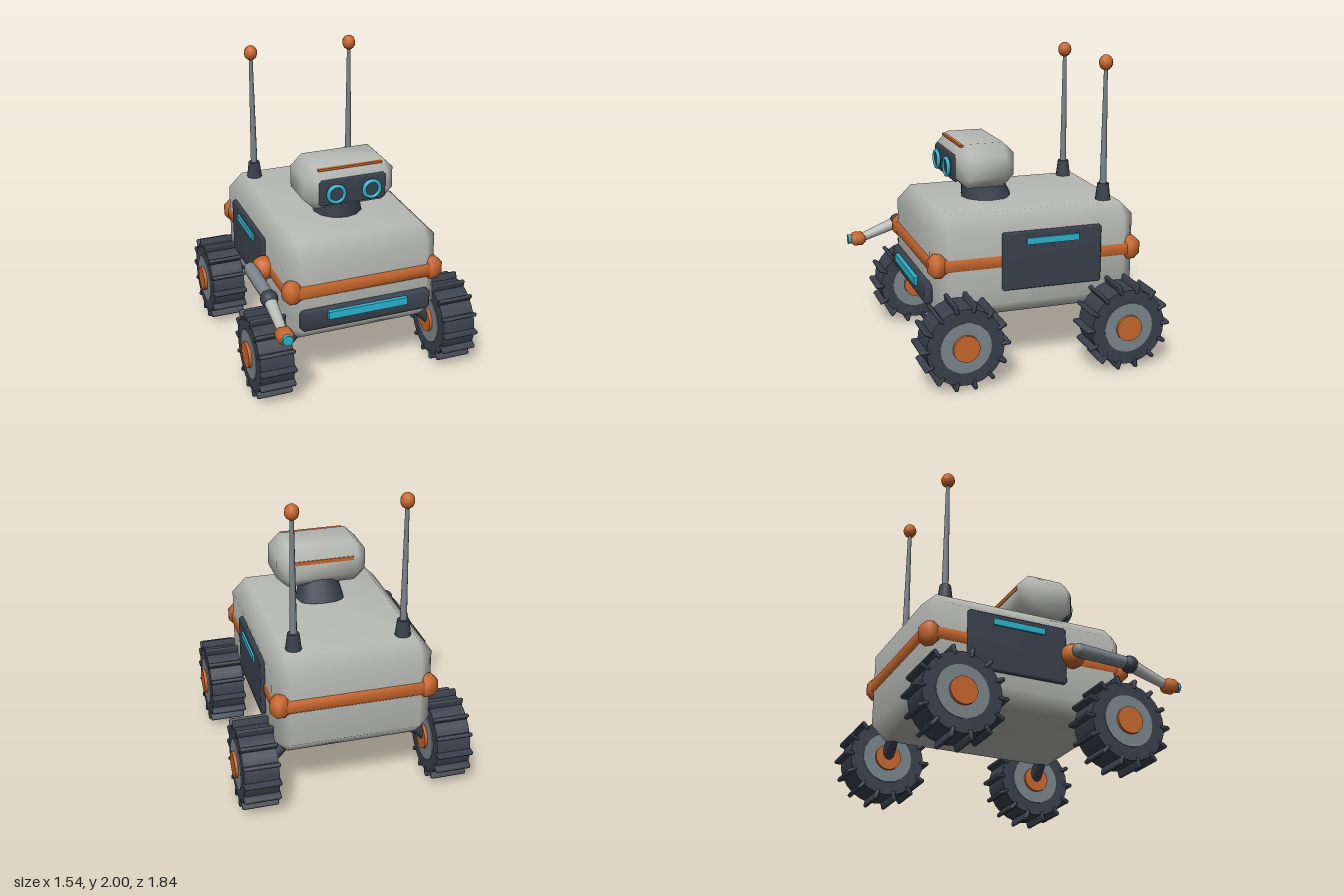
import * as THREE from 'three';
import { mergeVertices } from 'three/addons/utils/BufferGeometryUtils.js';
import { ConvexGeometry } from 'three/addons/geometries/ConvexGeometry.js';

const mat = (name, color) => {
  const m = new THREE.MeshStandardMaterial({ color });
  m.name = name;
  return m;
};

// Box with every edge cut at 45 degrees, softly shaded
function chamferBox(w, h, d, c) {
  const pts = [];
  for (const sx of [-1, 1]) for (const sy of [-1, 1]) for (const sz of [-1, 1]) {
    for (let k = 0; k < 3; k++) {
      const inset = [c, c, c];
      inset[k] = 0;
      pts.push(new THREE.Vector3(sx * (w / 2 - inset[0]), sy * (h / 2 - inset[1]), sz * (d / 2 - inset[2])));
    }
  }
  let g = new ConvexGeometry(pts);
  g.deleteAttribute('normal');
  g = mergeVertices(g);
  g.computeVertexNormals();
  return g;
}

export function createModel() {
  const root = new THREE.Group();
  root.name = 'rover';
  const shell = mat('shellGrey', 0xb8bab5);
  const orange = mat('orange', 0xc9672c);
  const dark = mat('darkSlate', 0x3a414d);
  const steel = mat('steelGrey', 0x7b868b);
  const cyan = mat('cyanGlow', 0x29b6d0);

  const add = (parent, name, geo, material, x = 0, y = 0, z = 0) => {
    const m = new THREE.Mesh(geo, material);
    m.name = name;
    m.position.set(x, y, z);
    parent.add(m);
    return m;
  };
  const group = (name, x = 0, y = 0, z = 0) => {
    const g = new THREE.Group();
    g.name = name;
    g.position.set(x, y, z);
    root.add(g);
    return g;
  };
  // Tapered rod between two points
  const rod = (parent, name, a, b, ra, rb, material, sides = 12) => {
    const p = new THREE.Vector3(...a), q = new THREE.Vector3(...b);
    const m = add(parent, name, new THREE.CylinderGeometry(rb, ra, p.distanceTo(q), sides), material);
    m.position.copy(p).add(q).multiplyScalar(0.5);
    m.quaternion.setFromUnitVectors(new THREE.Vector3(0, 1, 0), q.sub(p).normalize());
    return m;
  };

  // Hull
  add(root, 'body', chamferBox(1.04, 0.68, 1.38, 0.095), shell, 0, 0.71, -0.09);

  // Orange belt with corner guards
  const belt = group('belt', 0, 0.745, -0.09);
  for (const s of [-1, 1]) {
    add(belt, 'beltCrossBar', chamferBox(0.96, 0.11, 0.1, 0.025), orange, 0, 0, s * 0.655);
    add(belt, 'beltSideBar', chamferBox(0.1, 0.11, 1.3, 0.025), orange, s * 0.478, 0, 0);
    for (const t of [-1, 1])
      add(belt, 'cornerGuard', chamferBox(0.125, 0.15, 0.12, 0.038), orange, s * 0.48, 0, t * 0.655);
  }

  // Front bumper with light bar
  add(root, 'bumper', chamferBox(0.89, 0.145, 0.07, 0.022), dark, 0, 0.552, 0.608);
  add(root, 'bumperLight', new THREE.BoxGeometry(0.54, 0.052, 0.03), cyan, 0, 0.584, 0.647);

  // Side panels with light strips
  for (const s of [-1, 1]) {
    add(root, 'sidePanel', chamferBox(0.04, 0.38, 0.67, 0.012), dark, s * 0.53, 0.745, -0.18);
    add(root, 'sideLight', new THREE.BoxGeometry(0.02, 0.042, 0.352), cyan, s * 0.553, 0.874, -0.178);
  }

  // Neck leaning forward
  const neck = add(root, 'neck', new THREE.CylinderGeometry(0.12, 0.172, 0.2, 12), dark, 0, 1.12, 0.12);
  neck.rotation.x = 0.25;

  // Head
  const head = group('head', 0, 1.305, 0.172);
  add(head, 'headShell', chamferBox(0.61, 0.29, 0.39, 0.074), shell);
  add(head, 'facePlate', chamferBox(0.45, 0.175, 0.04, 0.014), dark, 0, -0.012, 0.19);
  add(head, 'browStripe', new THREE.BoxGeometry(0.43, 0.014, 0.022), orange, 0, 0.13, 0.148);
  add(head, 'rearStripe', new THREE.BoxGeometry(0.41, 0.026, 0.009), orange, 0, 0.045, -0.196);
  for (const s of [-1, 1]) {
    add(head, 'eyeRing', new THREE.TorusGeometry(0.054, 0.013, 8, 28), cyan, s * 0.12, -0.015, 0.226);
    const lens = add(head, 'eyeLens', new THREE.CylinderGeometry(0.05, 0.05, 0.03, 20), dark, s * 0.12, -0.015, 0.214);
    lens.rotation.x = Math.PI / 2;
  }

  // Antennas
  for (const s of [-1, 1]) {
    const antenna = group('antenna', s * 0.355, 0, -0.6);
    add(antenna, 'antennaBase', new THREE.CylinderGeometry(0.038, 0.053, 0.12, 10), dark, 0, 1.1, 0);
    add(antenna, 'antennaRod', new THREE.CylinderGeometry(0.013, 0.024, 0.78, 8), steel, 0, 1.54, 0);
    add(antenna, 'antennaBall', new THREE.SphereGeometry(0.046, 10, 8), orange, 0, 1.949, 0).scale.y = 1.11;
  }

  // Wheels with lugs, hubs and struts
  const lugs = 14;
  const tyreGeo = new THREE.CylinderGeometry(0.25, 0.25, 0.225, 28).rotateZ(Math.PI / 2);
  const rimGeo = new THREE.CylinderGeometry(0.165, 0.165, 0.236, 24).rotateZ(Math.PI / 2);
  const hubGeo = new THREE.CylinderGeometry(0.086, 0.086, 0.276, 20).rotateZ(Math.PI / 2);
  const lugGeo = chamferBox(0.238, 0.026, 0.065, 0.007);
  for (const s of [-1, 1]) for (const z of [0.46, -0.63]) {
    const wheel = group('wheel', s * 0.632, 0.29, z);
    add(wheel, 'tyre', tyreGeo, dark);
    add(wheel, 'rim', rimGeo, steel);
    add(wheel, 'hub', hubGeo, orange);
    for (let i = 0; i < lugs; i++) {
      const a = (i / lugs) * Math.PI * 2;
      add(wheel, 'lug', lugGeo, dark, 0, Math.sin(a) * 0.259, Math.cos(a) * 0.259).rotation.x = -a;
    }
    rod(root, 'strut', [s * 0.37, 0.46, z], [s * 0.53, 0.29, z], 0.04, 0.04, dark);
  }

  // Arm on the right side
  const arm = group('arm');
  add(arm, 'shoulder', new THREE.SphereGeometry(0.08, 12, 8), orange, -0.55, 0.75, 0.195);
  rod(arm, 'upperArm', [-0.635, 0.755, 0.19], [-0.63, 0.735, 0.56], 0.046, 0.04, steel);
  add(arm, 'upperArmCap', new THREE.SphereGeometry(0.046, 12, 8), steel, -0.635, 0.755, 0.195);
  add(arm, 'elbow', new THREE.SphereGeometry(0.058, 12, 8), dark, -0.63, 0.73, 0.56);
  rod(arm, 'forearm', [-0.63, 0.73, 0.56], [-0.63, 0.633, 0.83], 0.043, 0.03, shell);
  add(arm, 'gripper', chamferBox(0.105, 0.085, 0.105, 0.024), orange, -0.63, 0.632, 0.85);
  add(arm, 'gripperLight', new THREE.CylinderGeometry(0.033, 0.033, 0.025, 14).rotateX(Math.PI / 2), cyan, -0.63, 0.632, 0.908);

  return root;
}
